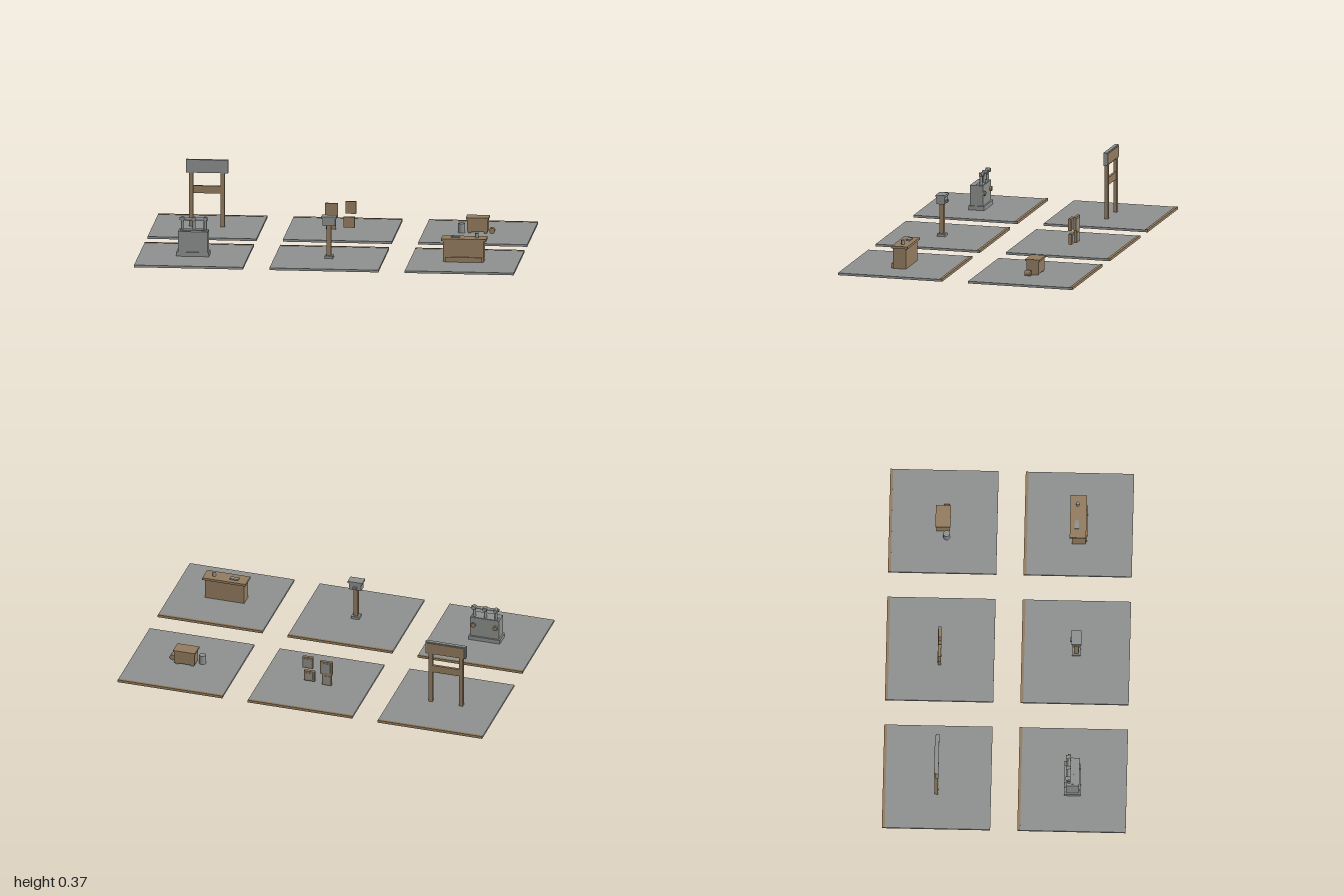
import * as THREE from 'three';

const grey = new THREE.MeshStandardMaterial({ name: 'stoneGrey', color: 0x8d908e });
const brown = new THREE.MeshStandardMaterial({ name: 'woodBrown', color: 0x937c5f });
const FLOOR = 0.012;

// Box given by its limits on each axis
function box(parent, name, mat, [x0, x1], [y0, y1], [z0, z1]) {
  const m = new THREE.Mesh(new THREE.BoxGeometry(x1 - x0, y1 - y0, z1 - z0), mat);
  m.position.set((x0 + x1) / 2, (y0 + y1) / 2, (z0 + z1) / 2);
  m.name = name;
  parent.add(m);
  return m;
}

// Cylinder centred on a point, along the chosen axis
function rod(parent, name, mat, r, length, [x, y, z], axis = 'y', sides = 16) {
  const g = new THREE.CylinderGeometry(r, r, length, sides);
  if (axis === 'x') g.rotateZ(Math.PI / 2);
  if (axis === 'z') g.rotateX(Math.PI / 2);
  const m = new THREE.Mesh(g, mat);
  m.position.set(x, y, z);
  m.name = name;
  parent.add(m);
  return m;
}

function section(root, name) {
  const g = new THREE.Group();
  g.name = name;
  root.add(g);
  return g;
}

export function createModel() {
  const root = new THREE.Group();
  root.name = 'propDisplay';

  // Six floor tiles, each with a wooden strip along the back edge
  const tiles = section(root, 'floorTiles');
  for (const x of [-0.713, 0, 0.713]) {
    for (const z of [-0.355, 0.355]) {
      const xs = [x - 0.287, x + 0.287];
      box(tiles, 'tile', grey, xs, [0, FLOOR], [z - 0.27, z + 0.283]);
      box(tiles, 'edgeStrip', brown, xs, [0, FLOOR + 0.002], [z - 0.285, z - 0.27]);
    }
  }

  // Sign board on two posts
  const sign = section(root, 'signStand');
  for (const x of [-0.798, -0.632]) {
    box(sign, 'signPost', brown, [x - 0.011, x + 0.011], [FLOOR, 0.35], [-0.367, -0.349]);
  }
  box(sign, 'crossbar', brown, [-0.805, -0.625], [0.19, 0.23], [-0.364, -0.351]);
  box(sign, 'signBoard', grey, [-0.825, -0.603], [0.3, 0.37], [-0.366, -0.347]);
  box(sign, 'signFace', brown, [-0.818, -0.61], [0.306, 0.364], [-0.37, -0.366]);

  // Four framed pictures facing the back
  const frames = section(root, 'pictureFrames');
  const layout = [
    [-0.092, -0.025, 0.076, 0.15], [-0.087, -0.036, FLOOR, 0.076],
    [0.014, 0.071, 0.097, 0.162], [0.004, 0.063, 0.022, 0.079],
  ];
  for (const [x0, x1, y0, y1] of layout) {
    box(frames, 'frame', brown, [x0, x1], [y0, y1], [-0.366, -0.35]);
    box(frames, 'picture', grey, [x0 + 0.01, x1 - 0.01], [y0 + 0.01, y1 - 0.01], [-0.368, -0.366]);
  }

  // Crate with lid, a canister and a small barrel lying beside it
  const crate = section(root, 'crateGroup');
  box(crate, 'crateBody', brown, [0.657, 0.767], [0.02, 0.086], [-0.39, -0.322]);
  for (const x of [0.67, 0.754]) {
    box(crate, 'runner', brown, [x - 0.008, x + 0.008], [FLOOR, 0.02], [-0.385, -0.327]);
  }
  box(crate, 'crateLid', brown, [0.652, 0.772], [0.086, 0.096], [-0.396, -0.317]);
  rod(crate, 'canister', grey, 0.018, 0.05, [0.628, FLOOR + 0.025, -0.337]);
  rod(crate, 'barrel', brown, 0.015, 0.031, [0.789, FLOOR + 0.015, -0.338], 'z');

  // Dispenser cabinet with a tapped rail and two dials
  const cabinet = section(root, 'dispenser');
  box(cabinet, 'plinth', grey, [-0.802, -0.63], [FLOOR, 0.034], [0.311, 0.397]);
  box(cabinet, 'cabinetBody', grey, [-0.794, -0.637], [0.034, 0.143], [0.32, 0.39]);
  box(cabinet, 'drainTray', grey, [-0.785, -0.644], [0.143, 0.146], [0.322, 0.36]);
  rod(cabinet, 'rail', grey, 0.008, 0.15, [-0.715, 0.2, 0.335], 'x');
  for (const x of [-0.775, -0.715, -0.655]) {
    rod(cabinet, 'tapPost', grey, 0.008, 0.06, [x, 0.172, 0.335]);
    rod(cabinet, 'tapKnob', grey, 0.011, 0.026, [x, 0.2, 0.331], 'z');
  }
  for (const x of [-0.775, -0.655]) {
    rod(cabinet, 'dial', brown, 0.013, 0.011, [x, 0.1, 0.3155], 'z');
  }

  // Box on a post
  const postBox = section(root, 'postBox');
  box(postBox, 'postBase', grey, [-0.022, 0.022], [FLOOR, 0.026], [0.336, 0.38]);
  box(postBox, 'post', brown, [-0.012, 0.012], [0.026, 0.19], [0.346, 0.37]);
  box(postBox, 'boxBody', grey, [-0.034, 0.034], [0.188, 0.226], [0.336, 0.38]);
  box(postBox, 'boxLid', grey, [-0.04, 0.04], [0.226, 0.237], [0.332, 0.384]);
  box(postBox, 'latch', grey, [-0.01, 0.01], [0.195, 0.207], [0.325, 0.336]);

  // Counter with a pad and a small cup on top
  const counter = section(root, 'counter');
  box(counter, 'counterBody', brown, [0.603, 0.817], [FLOOR, 0.122], [0.32, 0.391]);
  box(counter, 'counterTop', brown, [0.593, 0.83], [0.122, 0.135], [0.309, 0.395]);
  box(counter, 'kickBoard', brown, [0.615, 0.808], [FLOOR, 0.038], [0.391, 0.4]);
  box(counter, 'pad', grey, [0.641, 0.687], [0.135, 0.142], [0.334, 0.357]);
  rod(counter, 'cup', grey, 0.009, 0.024, [0.777, 0.147, 0.348]);

  return root;
}
